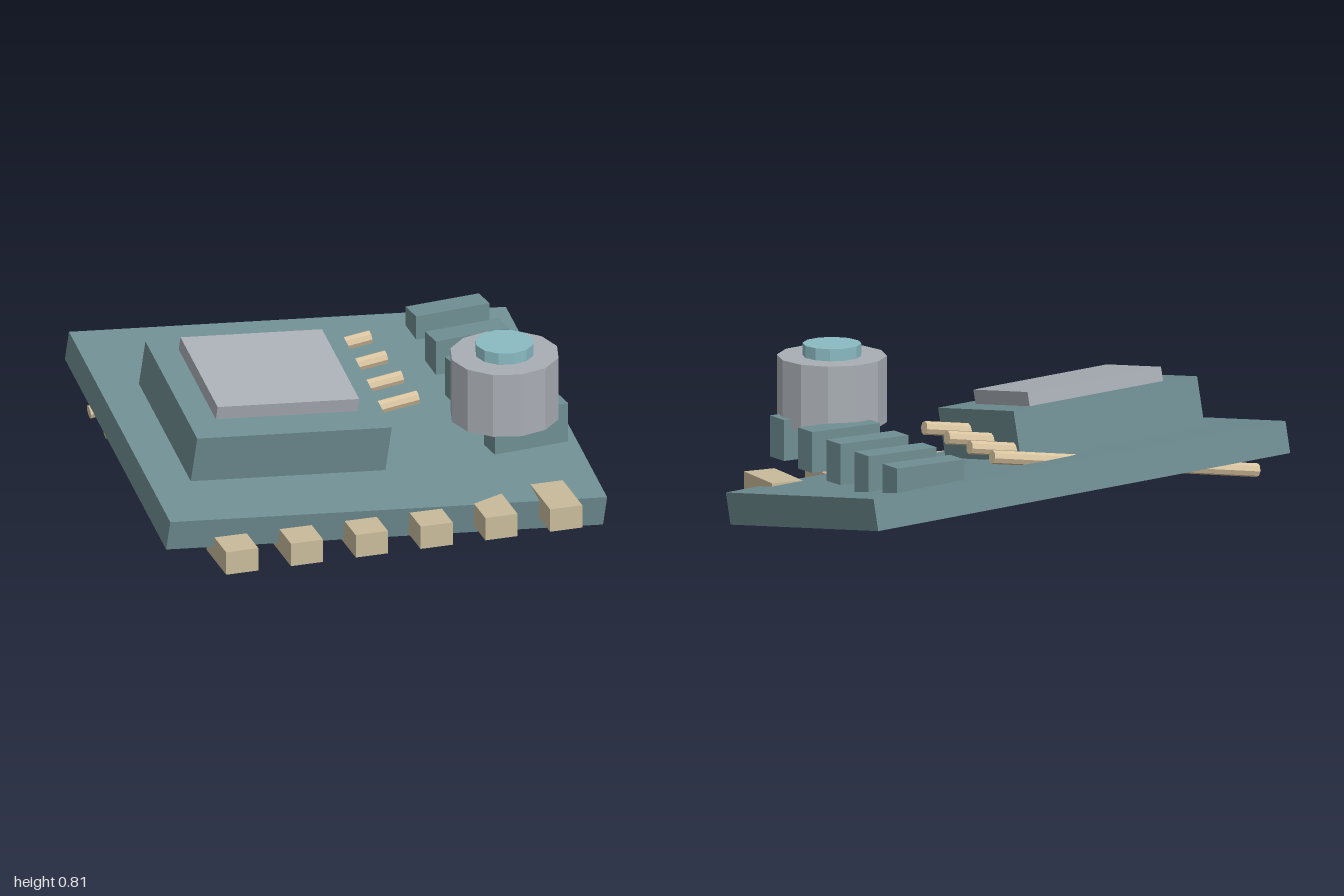
import * as THREE from 'three';

function material(name, color) {
  const m = new THREE.MeshStandardMaterial({ color });
  m.name = name;
  return m;
}

export function createModel() {
  const model = new THREE.Group();
  model.name = 'circuitBoard';
  const teal = material('teal', 0x6f8e92);
  const grey = material('grey', 0xa9aeb5);
  const cyan = material('paleCyan', 0x8abac2);
  const sand = material('sand', 0xc9bb9b);
  const gold = material('paleGold', 0xd9c4a0);

  function add(parent, name, geometry, mat, x, y, z) {
    const mesh = new THREE.Mesh(geometry, mat);
    mesh.name = name;
    mesh.position.set(x, y, z);
    parent.add(mesh);
    return mesh;
  }
  const box = (w, h, d) => new THREE.BoxGeometry(w, h, d);
  // Faceted cylinder with hard edges
  function drum(r, h, sides) {
    const g = new THREE.CylinderGeometry(r, r, h, sides).toNonIndexed();
    g.computeVertexNormals();
    return g;
  }

  // Tilted board with the main chip and its lid
  const board = new THREE.Group();
  board.name = 'tiltedBoard';
  board.position.set(0, 0.28, -0.075);
  board.rotation.set(THREE.MathUtils.degToRad(10), 0, THREE.MathUtils.degToRad(-4.5), 'ZXY');
  model.add(board);
  add(board, 'boardPlate', box(1.975, 0.14, 1.5), teal, 0, 0, 0);
  add(board, 'chip', box(0.88, 0.22, 0.767), teal, -0.362, 0.178, 0.062);
  add(board, 'chipLid', box(0.64, 0.062, 0.55), grey, -0.355, 0.319, 0.03);

  // Upright drum with a cap
  add(model, 'drum', drum(0.237, 0.29, 12), grey, 0.602, 0.614, 0.412);
  add(model, 'drumCap', drum(0.127, 0.053, 12), cyan, 0.602, 0.7855, 0.412);

  // Row of skewed blocks
  for (let i = 0; i < 5; i++) {
    const block = add(model, 'block', box(0.344, 0.18, 0.113), teal, 0.694, 0.42, -0.667 + i * 0.274);
    block.rotation.y = 0.105;
  }

  // Contact pins along the front edge
  for (let i = 0; i < 6; i++) {
    add(model, 'contactPin', box(0.145, 0.105, 0.275), sand, -0.713 + i * 0.292, 0.1375, 0.6875);
  }

  // Long sloping rods that pass through the board
  for (let i = 0; i < 4; i++) {
    const rod = add(model, 'rod', drum(0.03, 1.28, 8), gold, -0.329, 0.379, -0.54 + i * 0.22);
    rod.rotation.z = -Math.PI / 2 + 0.14;
  }

  return model;
}
